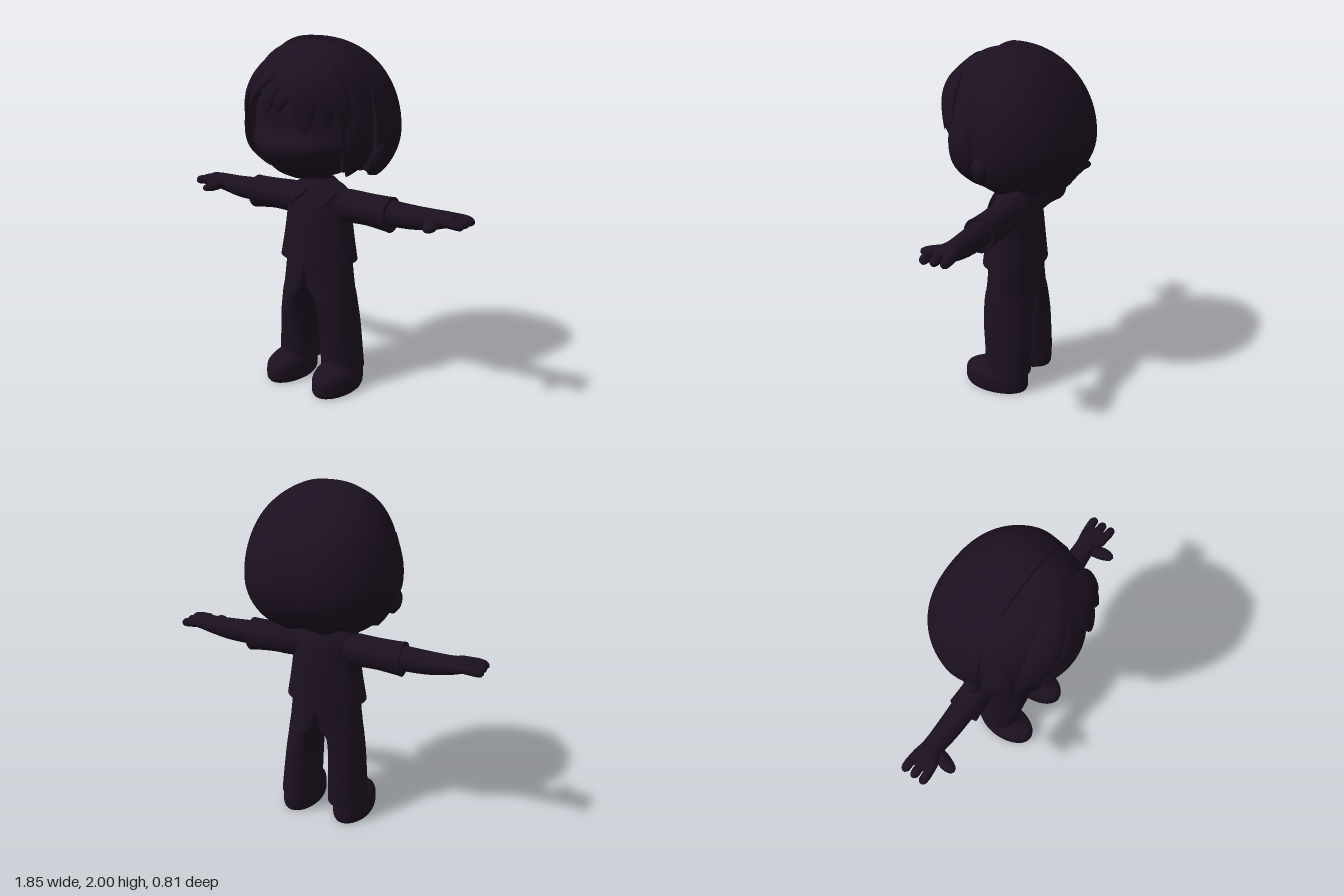
import * as THREE from 'three';
import { toCreasedNormals } from 'three/addons/utils/BufferGeometryUtils.js';

const V = (x, y, z) => new THREE.Vector3(x, y, z);
const { lerp, clamp, smoothstep } = THREE.MathUtils;
const signedPow = (x, p) => Math.sign(x) * Math.pow(Math.abs(x), p);
const material = new THREE.MeshStandardMaterial({ color: 0x1c1020, side: THREE.DoubleSide });

// Surface from a rule point(u, v); side = -1 mirrors it across x.
function surface(name, point, nu, nv, side = 1) {
  const pos = [], index = [];
  for (let j = 0; j <= nv; j++) {
    for (let i = 0; i <= nu; i++) {
      const p = point(i / nu, j / nv, i, j);
      pos.push(p.x * side, p.y, p.z);
    }
  }
  for (let j = 0; j < nv; j++) {
    for (let i = 0; i < nu; i++) {
      const a = j * (nu + 1) + i, b = a + 1, c = a + nu + 1, d = c + 1;
      if (side > 0) index.push(a, b, d, a, d, c);
      else index.push(a, d, b, a, c, d);
    }
  }
  const g = new THREE.BufferGeometry();
  g.setAttribute('position', new THREE.Float32BufferAttribute(pos, 3));
  g.setIndex(index);
  const mesh = new THREE.Mesh(toCreasedNormals(g, 0.9), material);
  mesh.name = name;
  return mesh;
}

// Capped loft through elliptical sections [position, centre1, centre2, radius1, radius2].
// axis 'y': centres and radii are x, z.  axis 'x': they are y, z.
function loft(name, sections, axis = 'y', side = 1, nu = 36, nv = 28) {
  const mid = new THREE.CatmullRomCurve3(sections.map(s => V(s[0], s[1], s[2])), false, 'catmullrom', 0.5);
  const rad = new THREE.CatmullRomCurve3(sections.map(s => V(s[3], s[4], 0)), false, 'catmullrom', 0.5);
  return surface(name, (u, v, i, j) => {
    const t = clamp((j - 1) / (nv - 2), 0, 1);
    const c = mid.getPoint(t), r = rad.getPoint(t);
    const k = j === 0 || j === nv ? 0 : 1;
    const a = u * Math.PI * 2 * (axis === 'y' ? -1 : 1);
    const p = c.y + k * r.x * Math.cos(a), q = c.z + k * r.y * Math.sin(a);
    return axis === 'y' ? V(p, c.x, q) : V(c.x, p, q);
  }, nu, nv, side);
}

// Flattened tapering strand along a path, facing away from a centre.
function strand(name, points, width, depth, centre, side = 1, blunt = 0.7) {
  const path = new THREE.CatmullRomCurve3(points);
  return surface(name, (u, v) => {
    const c = path.getPoint(v), t = path.getTangent(v);
    const out = c.clone().sub(centre);
    out.addScaledVector(t, -out.dot(t)).normalize();
    const across = t.clone().cross(out);
    const k = Math.pow(Math.max(0, Math.sin(Math.PI * (0.08 + 0.92 * v))), blunt);
    const a = -u * Math.PI * 2;
    return c.addScaledVector(across, width * k * Math.cos(a)).addScaledVector(out, depth * k * Math.sin(a));
  }, 16, 20, side);
}

// Dome of hair between two azimuths, with a hem height given per azimuth and edges turned inward.
function hairShell(name, o) {
  const nu = 112, nv = 36;
  return surface(name, (u, v, i, j) => {
    const a = lerp(o.a1, o.a0, clamp((i - 1) / (nu - 2), 0, 1));
    const drop = o.hem(a) - o.cy;
    const f = Math.acos(drop / (drop > 0 ? o.top : o.low)) * Math.min(1, j / (nv - 1));
    const y = Math.cos(f) * (f < Math.PI / 2 ? o.top : o.low);
    const rim = i === 0 || i === nu ? 0.9 : 1, lip = rim * (j === nv ? 0.88 : 1);
    const z = o.cz + o.rz * Math.pow(Math.sin(f), o.powerZ) * signedPow(Math.cos(a), o.square) * lip;
    const taper = 1 - o.taper * smoothstep(z, -0.12, 0.1);
    const x = o.rx * Math.pow(Math.sin(f), o.powerX) * signedPow(Math.sin(a), o.square) * taper;
    return V(x * lip, o.cy + y * rim, z);
  }, nu, nv);
}

const zigzag = (a, count) => Math.abs(((a * count) % 1 + 1) % 1 - 0.5) * 2;

// Trouser leg: half of the hip outline at the top, rounding to a full leg below the arched crotch.
function trouserLeg(side) {
  const nv = 44;
  return surface('trouserLeg', (u, v, i, j) => {
    const y = lerp(0.11, 0.79, Math.max(0, j - 1) / (nv - 1)), a = -u * Math.PI * 2;
    const k = j === 0 ? 0 : 1, arch = clamp((0.58 - y) / 0.06, 0, 1);
    const outer = 0.286 - 0.105 * y, inner = 0.033 * Math.sqrt(arch * (2 - arch));
    const round = 1 - smoothstep(y, 0.35, 0.75);
    const across = lerp(Math.max(0, Math.cos(a)), (1 + k * Math.cos(a)) / 2, round);
    const cz = 0.02 * smoothstep(y, 0.1, 0.6), rz = lerp(0.137, 0.15, smoothstep(y, 0.1, 0.6));
    return V(lerp(inner, outer, across), y, cz + k * rz * Math.sin(a));
  }, 48, nv, side);
}

export function createModel() {
  const model = new THREE.Group();
  model.name = 'character';
  const add = mesh => model.add(mesh);

  // Head and neck
  add(loft('head', [
    [1.247, 0, 0.11, 0.09, 0.11], [1.29, 0, 0.085, 0.21, 0.21], [1.42, 0, 0.07, 0.335, 0.315],
    [1.52, 0, 0.05, 0.35, 0.3], [1.65, 0, 0.04, 0.345, 0.295], [1.82, 0, 0.03, 0.25, 0.22],
    [1.91, 0, 0.03, 0.05, 0.05]], 'y', 1, 48, 36));
  add(loft('neck', [[1.14, 0, 0.015, 0.08, 0.08], [1.21, 0, 0.015, 0.065, 0.07], [1.3, 0, 0.015, 0.075, 0.08]]));

  // Hair: full rounded back and a smaller front tucked under its rim
  add(hairShell('backHair', {
    cy: 1.5, cz: 0.07, rx: 0.445, rz: 0.478, top: 0.5, low: 0.36, powerX: 0.82, powerZ: 1.05,
    square: 0.84, taper: 0.08, a0: Math.PI / 2, a1: Math.PI * 1.5,
    hem: a => 1.24 + 0.045 * zigzag(a, 1.9) + 0.05 * Math.pow(Math.cos(a / 2), 2),
  }));
  add(hairShell('frontHair', {
    cy: 1.55, cz: 0.05, rx: 0.39, rz: 0.335, top: 0.425, low: 0.36, powerX: 0.7, powerZ: 0.7,
    square: 1, taper: 0, a0: -1.75, a1: 1.75,
    hem: a => lerp(1.68, 1.3, smoothstep(Math.abs(a), 0.75, 1.1)) + 0.04 * zigzag(a, 2.3),
  }));

  // Fringe strands falling from the parting, laid over the front hair
  const headCentre = V(0, 1.55, 0.05);
  const onHair = ([x, y]) => {
    const k = 1 - Math.pow(Math.abs(x) / 0.395, 2.2) - Math.pow(Math.abs(y - 1.55) / 0.43, 2.4);
    return V(x, y, 0.05 + 0.335 * Math.pow(Math.max(0, k), 0.43));
  };
  const fringe = [
    [0.075, [[0.05, 1.93], [-0.12, 1.86], [-0.25, 1.72], [-0.33, 1.5]]],
    [0.085, [[0.04, 1.92], [-0.08, 1.83], [-0.18, 1.74], [-0.24, 1.62]]],
    [0.075, [[0.04, 1.92], [-0.01, 1.82], [-0.06, 1.71], [-0.08, 1.6]]],
    [0.065, [[0.05, 1.92], [0.04, 1.8], [0.02, 1.7], [-0.01, 1.61]]],
    [0.085, [[0.06, 1.92], [0.11, 1.8], [0.15, 1.68], [0.17, 1.52]]],
    [0.08, [[0.08, 1.92], [0.2, 1.82], [0.26, 1.7], [0.26, 1.55]]],
    [0.06, [[0.1, 1.92], [0.25, 1.81], [0.32, 1.66], [0.36, 1.53]]],
  ];
  for (const [width, path] of fringe) add(strand('fringeStrand', path.map(onHair), width, 0.022, headCentre));

  // Shirt
  add(loft('shirt', [
    [0.76, 0, 0.025, 0.24, 0.175], [0.9, 0, 0.022, 0.216, 0.16], [1.03, 0, 0.02, 0.2, 0.145],
    [1.12, 0, 0.015, 0.195, 0.125], [1.175, 0, 0.015, 0.165, 0.1], [1.205, 0, 0.015, 0.1, 0.08]], 'y', 1, 48));
  add(loft('collarBand', [[1.16, 0, 0.015, 0.14, 0.11], [1.19, 0, 0.015, 0.12, 0.1], [1.218, 0, 0.015, 0.085, 0.083]]));

  for (const side of [1, -1]) {
    // Side locks and ears
    add(strand('sideLock', [V(0.33, 1.72, 0.18), V(0.367, 1.53, 0.17), V(0.355, 1.39, 0.15), V(0.26, 1.27, 0.13)],
      0.085, 0.025, headCentre, side));
    add(loft('ear', [
      [1.32, 0.385, 0.03, 0.015, 0.015], [1.36, 0.4, 0.03, 0.03, 0.035],
      [1.42, 0.405, 0.03, 0.03, 0.045], [1.47, 0.39, 0.03, 0.015, 0.02]], 'y', side, 20, 16));

    // Collar flap
    const shape = new THREE.Shape([[0.008, 0.07], [0.075, 0.12], [0.165, 0.08], [0.105, 0.0]]
      .map(([x, y]) => new THREE.Vector2(x * side, y)));
    const flap = new THREE.Mesh(new THREE.ExtrudeGeometry(shape,
      { depth: 0.01, bevelEnabled: true, bevelSize: 0.006, bevelThickness: 0.004, bevelSegments: 2 }), material);
    flap.name = 'collarFlap';
    flap.position.set(0, 1.095, 0.16);
    flap.rotation.set(-0.45, 0.25 * side, 0);
    add(flap);

    // Sleeve, arm and hand
    add(loft('sleeve', [
      [0.1, 1.085, 0.01, 0.085, 0.085], [0.2, 1.08, 0.005, 0.092, 0.09], [0.32, 1.078, 0.003, 0.089, 0.086],
      [0.44, 1.072, 0.004, 0.094, 0.089], [0.472, 1.07, 0.005, 0.098, 0.091]], 'x', side));
    add(loft('arm', [
      [0.4, 1.08, 0, 0.072, 0.074], [0.6, 1.077, 0, 0.065, 0.066], [0.73, 1.086, -0.003, 0.053, 0.06],
      [0.8, 1.096, 0.003, 0.042, 0.076], [0.85, 1.098, 0.005, 0.03, 0.078], [0.865, 1.097, 0.005, 0.015, 0.06]],
      'x', side));
    for (const z of [-0.053, 0.006, 0.063]) {
      add(loft('finger', [
        [0.8, 1.1, z * 0.9, 0.027, 0.025], [0.87, 1.097, z, 0.027, 0.026],
        [0.91, 1.092, z, 0.023, 0.023], [0.927, 1.09, z, 0.008, 0.008]], 'x', side, 16, 14));
    }
    add(strand('thumb', [V(0.725, 1.085, 0.0), V(0.75, 1.08, 0.07), V(0.765, 1.074, 0.12), V(0.772, 1.07, 0.168)],
      0.038, 0.028, V(0.75, 0.5, 0.05), side, 0.4));

    // Leg and shoe
    add(trouserLeg(side));
    add(loft('shoe', [
      [0, 0.168, 0.065, 0.107, 0.185], [0.025, 0.168, 0.067, 0.114, 0.197], [0.09, 0.168, 0.066, 0.112, 0.197],
      [0.122, 0.166, 0.06, 0.1, 0.18], [0.145, 0.165, 0.05, 0.08, 0.14], [0.172, 0.165, 0.05, 0.05, 0.1]], 'y', side));
  }
  return model;
}
